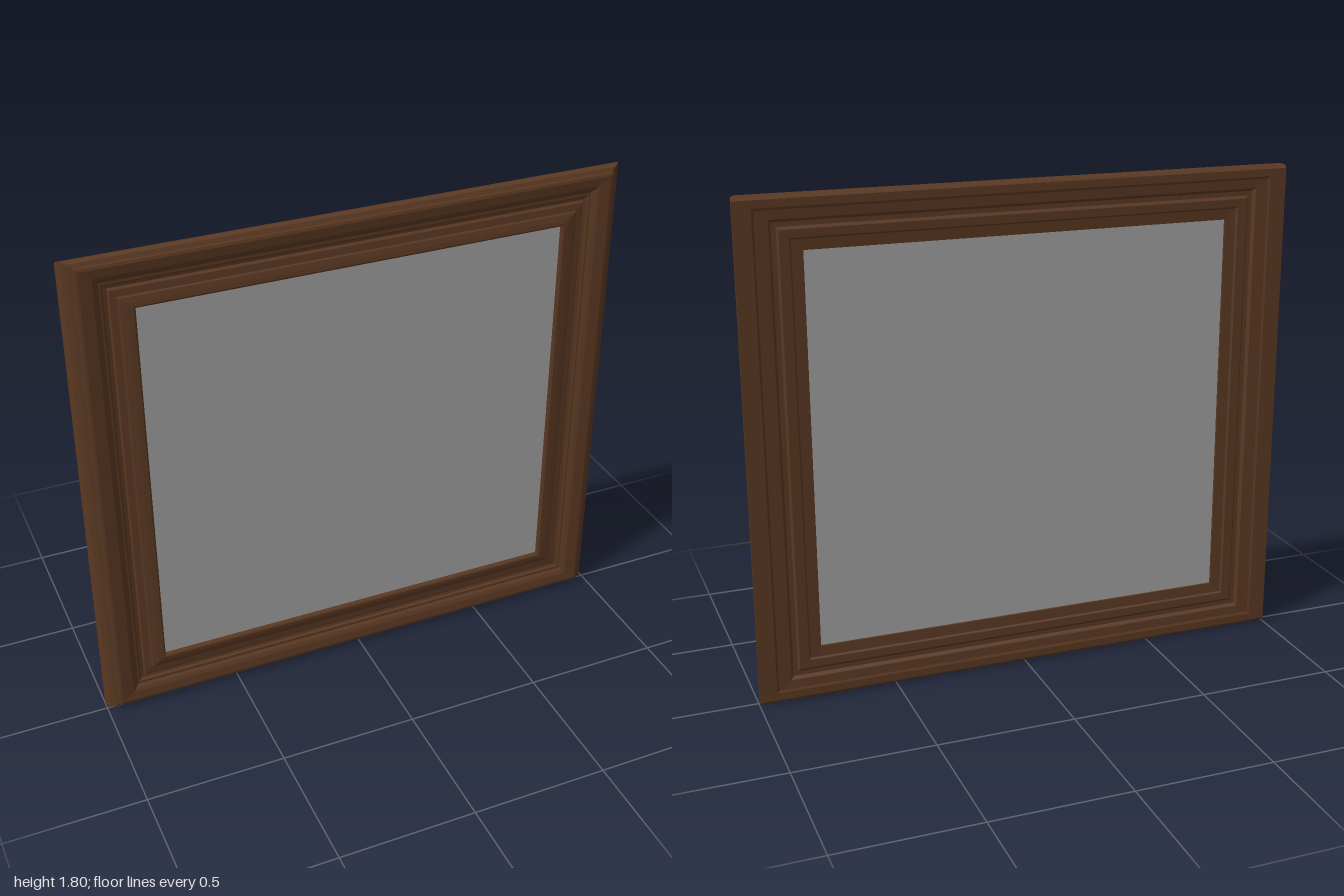
import * as THREE from 'three';

// Moulding section: inset from the stile edge, inset from the rail edge, depth
const SECTION = [
  [0.000, 0.015, -0.030], [0.000, 0.004, -0.020], [0.012, 0.000, -0.004],
  [0.028, 0.006, 0.008], [0.045, 0.020, 0.015], [0.045, 0.020, 0.027],
  [0.055, 0.030, 0.030], [0.098, 0.062, 0.026], [0.110, 0.075, 0.020],
  [0.120, 0.085, 0.012], [0.126, 0.095, 0.012], [0.134, 0.102, 0.006],
  [0.146, 0.112, 0.004], [0.152, 0.120, 0.010], [0.175, 0.145, 0.012],
  [0.182, 0.150, 0.016], [0.205, 0.168, 0.021], [0.224, 0.184, 0.023],
  [0.230, 0.190, 0.020], [0.230, 0.190, -0.012],
  [0.190, 0.152, -0.014], [0.184, 0.146, -0.020], [0.150, 0.118, -0.021],
  [0.142, 0.108, -0.014], [0.126, 0.092, -0.014], [0.116, 0.082, -0.024],
  [0.070, 0.050, -0.026], [0.062, 0.042, -0.030],
];
const HALF_W = 1, HALF_H = 0.9;

// Sweep one strip of the section between two mitred corners
function memberGeometry(a, b) {
  const pos = [];
  const at = ([dx, dy, z], [sx, sy]) => [sx * (HALF_W - dx), HALF_H + sy * (HALF_H - dy), z];
  SECTION.forEach((p, i) => {
    const q = SECTION[(i + 1) % SECTION.length];
    const [pa, pb, qa, qb] = [at(p, a), at(p, b), at(q, a), at(q, b)];
    pos.push(...pa, ...pb, ...qb, ...pa, ...qb, ...qa);
  });
  const geometry = new THREE.BufferGeometry();
  geometry.setAttribute('position', new THREE.Float32BufferAttribute(pos, 3));
  geometry.computeVertexNormals();
  return geometry;
}

export function createModel() {
  const group = new THREE.Group();
  group.name = 'framedWindow';
  const wood = new THREE.MeshStandardMaterial({ color: 0x5a3822 });
  wood.name = 'dark wood';
  const grey = new THREE.MeshStandardMaterial({ color: 0xa0a0a0 });
  grey.name = 'grey pane';

  // Four mitred frame members, counter-clockwise from the bottom
  const corners = [[-1, -1], [1, -1], [1, 1], [-1, 1]];
  ['bottomRail', 'leftStile', 'topRail', 'rightStile'].forEach((name, i) => {
    const mesh = new THREE.Mesh(memberGeometry(corners[i], corners[(i + 1) % 4]), wood);
    mesh.name = name;
    group.add(mesh);
  });

  // Pane tucked into the frame opening
  const pane = new THREE.Mesh(new THREE.BoxGeometry(1.55, 1.43, 0.008), grey);
  pane.name = 'pane';
  pane.position.set(0, HALF_H, 0);
  group.add(pane);
  return group;
}
